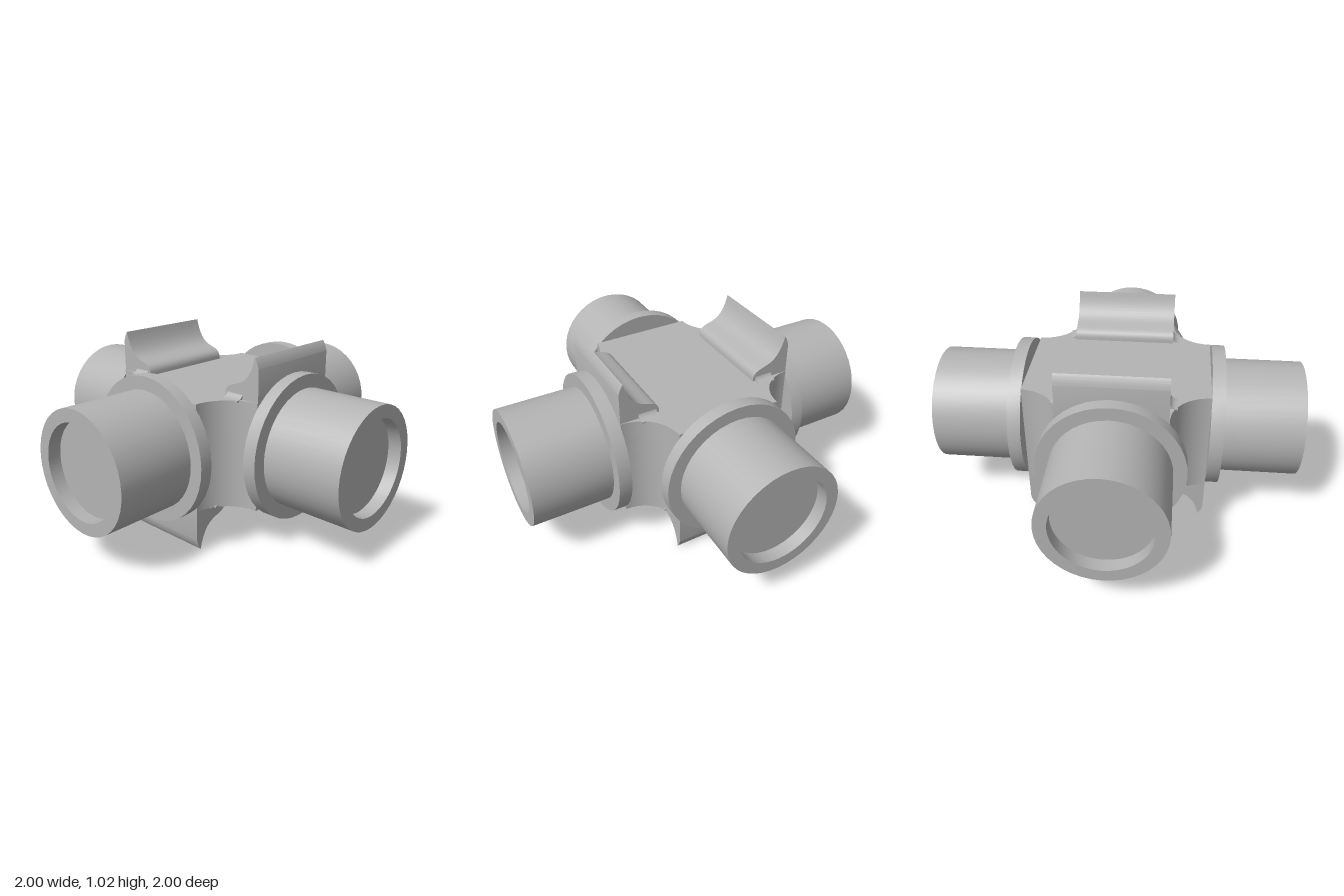
import * as THREE from 'three';
import { toCreasedNormals } from 'three/addons/utils/BufferGeometryUtils.js';

const CENTRE = 0.512; // height of both pin axes
const HALF = 0.288;   // half thickness of the hub
const END = 0.5;      // hub ends here, flanges begin

const creased = (geometry) => toCreasedNormals(geometry, 0.6);

// Cross-shaped hub with concave corners between the arms
function hubGeometry() {
  const r = 0.212;
  const shape = new THREE.Shape();
  shape.moveTo(END - r, END);
  [[1, 1], [1, -1], [-1, -1], [-1, 1]].forEach(([sx, sy], i) => {
    const start = Math.PI - i * Math.PI / 2;
    shape.absarc(sx * END, sy * END, r, start, start + Math.PI / 2, false);
  });
  shape.closePath();
  const g = new THREE.ExtrudeGeometry(shape, { depth: 2 * HALF, bevelEnabled: false, curveSegments: 14 });
  g.translate(0, 0, -HALF);
  g.rotateX(-Math.PI / 2);
  return creased(g);
}

// Turned part along +x from [radius, distance] pairs
function turned(points) {
  const g = new THREE.LatheGeometry(points.map(([r, d]) => new THREE.Vector2(r, d)), 40);
  g.rotateZ(-Math.PI / 2);
  return creased(g);
}

// Curved lip rising from the hub's flat face beside a flange
function lipGeometry() {
  const shape = new THREE.Shape();
  shape.moveTo(0.285, 0.27);
  shape.lineTo(0.285, 0.305);
  shape.bezierCurveTo(0.29, 0.345, 0.325, 0.35, 0.365, 0.364);
  shape.bezierCurveTo(0.42, 0.38, 0.455, 0.425, 0.475, 0.512);
  shape.quadraticCurveTo(0.492, 0.49, 0.5, 0.455);
  shape.lineTo(0.5, 0.27);
  shape.closePath();
  const g = new THREE.ExtrudeGeometry(shape, { depth: 0.57, bevelEnabled: false, curveSegments: 10 });
  g.translate(0, 0, -0.285);
  return creased(g);
}

// Small concave fillet at the foot of a lip's end face
function filletGeometry() {
  const shape = new THREE.Shape();
  shape.moveTo(0.28, 0.28);
  shape.lineTo(0.28, 0.33);
  shape.quadraticCurveTo(0.285, HALF, 0.325, HALF);
  shape.lineTo(0.325, 0.28);
  shape.closePath();
  const g = new THREE.ExtrudeGeometry(shape, { depth: 0.1, bevelEnabled: false, curveSegments: 6 });
  g.rotateY(-Math.PI / 2); // profile runs along z, length along -x
  g.translate(0.4, 0, 0);
  return creased(g);
}

export function createModel() {
  const model = new THREE.Group();
  model.name = 'crossJoint';
  const steel = new THREE.MeshStandardMaterial({ color: 0xb4b4b4 });
  steel.name = 'grey steel';

  const add = (parent, name, geometry) => {
    const mesh = new THREE.Mesh(geometry, steel);
    mesh.name = name;
    parent.add(mesh);
    return mesh;
  };

  add(model, 'hub', hubGeometry()).position.y = CENTRE;

  const flange = turned([[0, 0.499], [0.39, 0.499], [0.39, 0.57], [0.31, 0.57]]);
  const pin = turned([[0.318, 0.56], [0.318, 1], [0.25, 1], [0.25, 0.93], [0, 0.93]]);
  const lip = lipGeometry();
  const fillet = filletGeometry();
  const names = ['left', 'back', 'right', 'front'];

  for (let i = 0; i < 4; i++) {
    const arm = new THREE.Group();
    arm.name = names[i] + 'Arm';
    arm.position.y = CENTRE;
    arm.rotation.y = i * Math.PI / 2;
    add(arm, 'flange', flange);
    add(arm, 'pin', pin);

    // Lips sit on top of the side arms and under the front and back arms
    const lipGroup = new THREE.Group();
    lipGroup.name = 'lip';
    lipGroup.rotation.x = i % 2 ? Math.PI : 0;
    add(lipGroup, 'lipBlade', lip);
    add(lipGroup, 'lipFillet', fillet);
    add(lipGroup, 'lipFillet', fillet).scale.z = -1;
    arm.add(lipGroup);
    model.add(arm);
  }
  return model;
}
